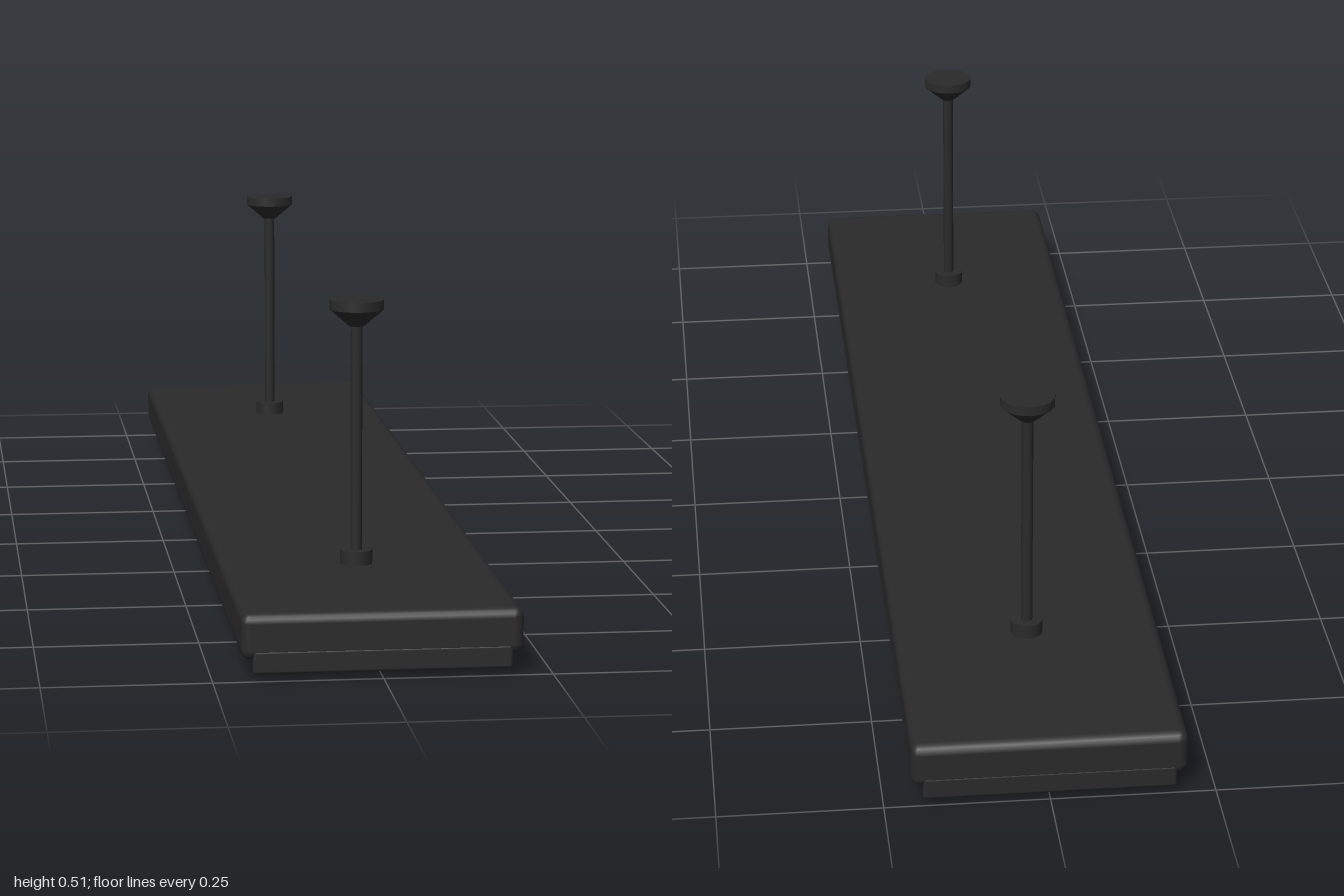
import * as THREE from 'three';
import { RoundedBoxGeometry } from 'three/addons/geometries/RoundedBoxGeometry.js';

export function createModel() {
  const group = new THREE.Group();
  const metal = new THREE.MeshStandardMaterial({ color: 0x2a2a2a });
  metal.name = 'dark metal';
  const glow = new THREE.MeshStandardMaterial({ color: 0xffefd5 });
  glow.name = 'warm diffuser';

  const add = (name, geometry, material, x, y, z, parent = group) => {
    const mesh = new THREE.Mesh(geometry, material);
    mesh.name = name;
    mesh.position.set(x, y, z);
    parent.add(mesh);
    return mesh;
  };

  // Long housing with softened edges
  add('housing', new RoundedBoxGeometry(0.416, 0.07, 2, 2, 0.015), metal, 0, 0.065, 0);

  // Light panel under the housing
  add('diffuser', new THREE.BoxGeometry(0.34, 0.025, 1.92), glow, 0, 0.0225, 0);

  // Cross ribs dividing the panel into eight
  const rib = new THREE.BoxGeometry(0.342, 0.034, 0.01);
  for (let i = -3; i <= 3; i++) add('rib', rib, metal, 0, 0.017, i * 0.25);

  // Lips closing both ends, and a rod near each
  const lip = new RoundedBoxGeometry(0.382, 0.036, 0.014, 2, 0.005);
  const collar = new THREE.CylinderGeometry(0.025, 0.025, 0.024, 16);
  const rod = new THREE.CylinderGeometry(0.009, 0.009, 0.38, 12);
  const cone = new THREE.CylinderGeometry(0.042, 0.012, 0.026, 20);
  const disc = new THREE.CylinderGeometry(0.042, 0.042, 0.015, 20);
  for (const side of [-1, 1]) {
    add('endLip', lip, metal, 0, 0.028, side * 0.993);
    const hanger = new THREE.Group();
    hanger.name = 'hanger';
    hanger.position.z = side * 0.667;
    group.add(hanger);
    add('collar', collar, metal, 0, 0.11, 0, hanger);
    add('rod', rod, metal, 0, 0.285, 0, hanger);
    add('canopyCone', cone, metal, 0, 0.482, 0, hanger);
    add('canopyDisc', disc, metal, 0, 0.5025, 0, hanger);
  }
  return group;
}
